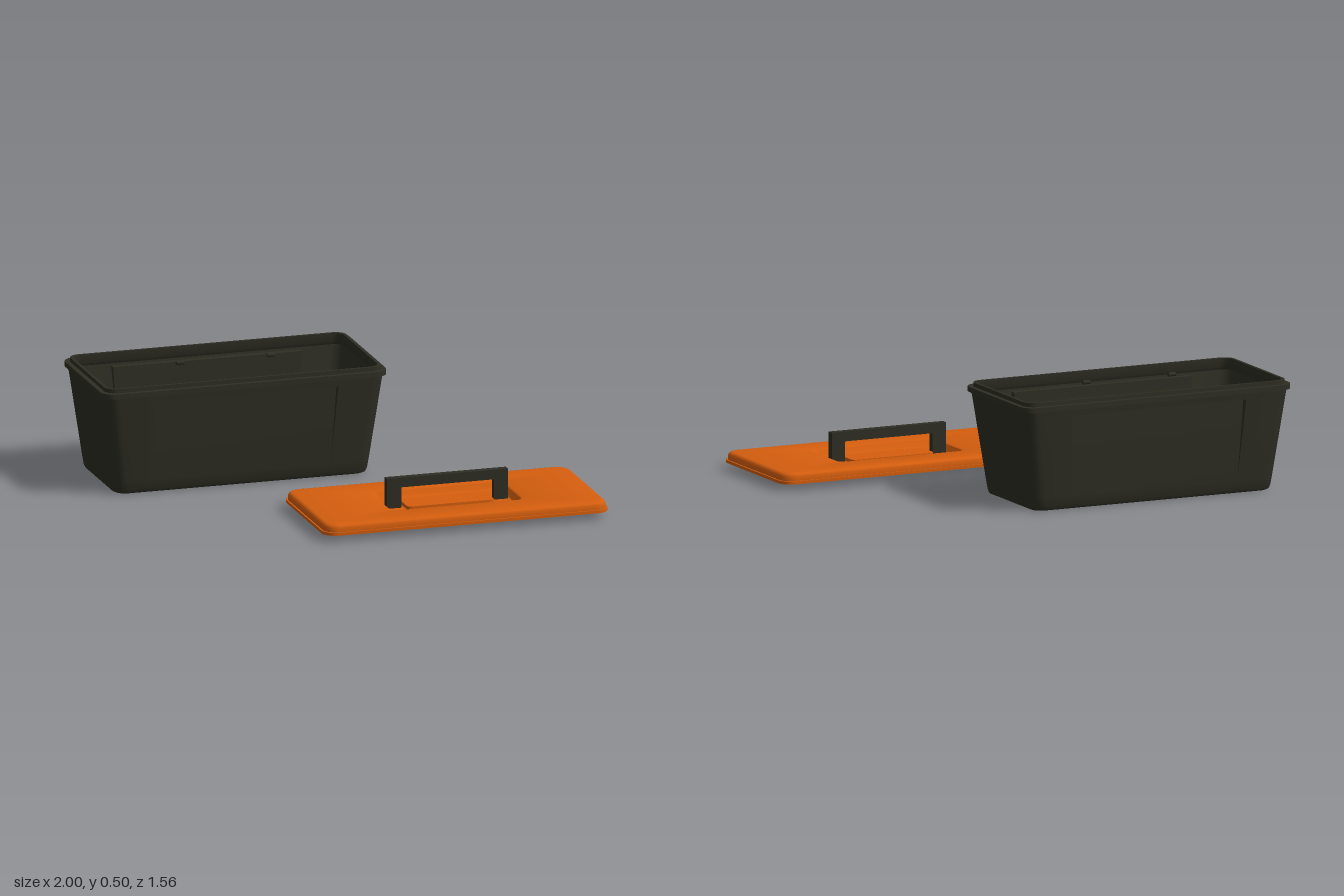
import * as THREE from 'three';
import { toCreasedNormals } from 'three/addons/utils/BufferGeometryUtils.js';

const CORNER_STEPS = 6;

// Rounded rectangle at height y. Both long sides carry a panel of half width p,
// pushed inward by depth d (0 = flush).
function ring([hx, hz, y, r = 0, p = 0, d = 0]) {
  const pts = [];
  const corner = (sx, sz, start) => {
    for (let i = 0; i <= CORNER_STEPS; i++) {
      const a = start + (i / CORNER_STEPS) * Math.PI / 2;
      pts.push([sx * (hx - r) + r * Math.cos(a), y, sz * (hz - r) + r * Math.sin(a)]);
    }
  };
  const panel = (s) => {
    pts.push([s * p, y, s * hz], [s * p, y, s * (hz - d)],
      [-s * p, y, s * (hz - d)], [-s * p, y, s * hz]);
  };
  corner(1, 1, 0);
  panel(1);
  corner(-1, 1, Math.PI / 2);
  corner(-1, -1, Math.PI);
  panel(-1);
  corner(1, -1, Math.PI * 1.5);
  return pts;
}

// Closed skin through a list of sections, from the underside centre to the top centre.
function loft(sections) {
  const rings = sections.map(ring);
  const n = rings[0].length;
  const index = [];
  for (let i = 0; i < rings.length - 1; i++) {
    for (let j = 0; j < n; j++) {
      const k = (j + 1) % n;
      const a = i * n + j, b = i * n + k, c = a + n, e = b + n;
      index.push(a, c, b, b, c, e);
    }
  }
  const g = new THREE.BufferGeometry();
  g.setAttribute('position', new THREE.Float32BufferAttribute(rings.flat(2), 3));
  g.setIndex(index);
  return toCreasedNormals(g.toNonIndexed(), 0.6);
}

function add(parent, name, geometry, material, x = 0, y = 0, z = 0) {
  const mesh = new THREE.Mesh(geometry, material);
  mesh.name = name;
  mesh.position.set(x, y, z);
  parent.add(mesh);
  return mesh;
}

export function createModel() {
  const model = new THREE.Group();
  model.name = 'boxWithLid';
  const dark = new THREE.MeshStandardMaterial({ color: 0x2e2e24 });
  dark.name = 'dark olive plastic';
  const orange = new THREE.MeshStandardMaterial({ color: 0xd55e0e });
  orange.name = 'orange plastic';

  // Open tapered box with recessed side panels
  const box = new THREE.Group();
  box.name = 'box';
  box.position.set(-0.355, 0, -0.47);
  model.add(box);
  add(box, 'boxShell', loft([
    [0, 0, 0],
    [0.56, 0.234, 0, 0.045, 0.395],
    [0.571, 0.245, 0.005, 0.055, 0.395],
    [0.577, 0.251, 0.017, 0.06, 0.395],
    [0.583, 0.257, 0.06, 0.06, 0.395],
    [0.629, 0.297, 0.42, 0.06, 0.418, 0.028],
    [0.629, 0.297, 0.42, 0.06, 0.418],
    [0.633, 0.3, 0.447, 0.06, 0.418],
    // flange and lip
    [0.645, 0.31, 0.447, 0.06, 0.418],
    [0.645, 0.31, 0.469, 0.06, 0.418],
    [0.624, 0.289, 0.469, 0.05, 0.418],
    [0.624, 0.289, 0.487, 0.05, 0.418],
    [0.611, 0.277, 0.487, 0.045, 0.418],
    [0.611, 0.277, 0.45, 0.045, 0.418],
    // inside
    [0.617, 0.284, 0.435, 0.05, 0.427],
    [0.615, 0.282, 0.425, 0.05, 0.427],
    [0.615, 0.282, 0.425, 0.05, 0.427, 0.028],
    [0.57, 0.243, 0.06, 0.05, 0.405],
    [0.565, 0.239, 0.03, 0.05, 0.405],
    [0.558, 0.232, 0.017, 0.045, 0.405],
    [0.546, 0.22, 0.013, 0.035, 0.405],
    [0, 0, 0.013],
  ]), dark);

  // Pair of small hinge pins over the opening
  const pin = new THREE.CylinderGeometry(0.009, 0.009, 0.034, 16).rotateZ(Math.PI / 2);
  for (const s of [-1, 1]) add(box, 'hingePin', pin, dark, s * 0.205, 0.496, 0);

  // Hollow lid with a sunken handle well and a raised pad in it
  const lid = new THREE.Group();
  lid.name = 'lid';
  lid.position.set(0.35, 0, 0.465);
  model.add(lid);
  add(lid, 'lidShell', loft([
    [0, 0, 0.034],
    [0.272, 0.127, 0.034, 0.02],
    [0.302, 0.157, 0.062, 0.03],
    [0.618, 0.283, 0.062, 0.05],
    [0.618, 0.283, 0.045, 0.05],
    [0.628, 0.293, 0.045, 0.055],
    [0.628, 0.293, 0.03, 0.055],
    [0.645, 0.31, 0.03, 0.06],
    [0.645, 0.31, 0.043, 0.06],
    [0.638, 0.303, 0.043, 0.06],
    [0.638, 0.303, 0.062, 0.06],
    [0.634, 0.299, 0.07, 0.058],
    [0.628, 0.293, 0.075, 0.055],
    [0.618, 0.283, 0.077, 0.05],
    // handle well
    [0.305, 0.16, 0.077, 0.03],
    [0.296, 0.151, 0.073, 0.03],
    [0.284, 0.139, 0.053, 0.025],
    [0.279, 0.132, 0.046, 0.02],
    [0.27, 0.123, 0.044, 0.015],
    // pad
    [0.196, 0.066, 0.044, 0.02],
    [0.196, 0.066, 0.06, 0.02],
    [0, 0, 0.06],
  ]), orange);

  // Carrying handle
  const outline = new THREE.Shape([
    [-0.275, 0.04], [-0.21, 0.04], [-0.21, 0.135], [0.21, 0.135],
    [0.21, 0.04], [0.272, 0.04], [0.272, 0.178], [-0.275, 0.178],
  ].map(([x, y]) => new THREE.Vector2(x, y)));
  const bar = new THREE.ExtrudeGeometry(outline, { depth: 0.032, bevelEnabled: false });
  add(lid, 'handle', bar, dark, 0, 0, -0.016);

  return model;
}
